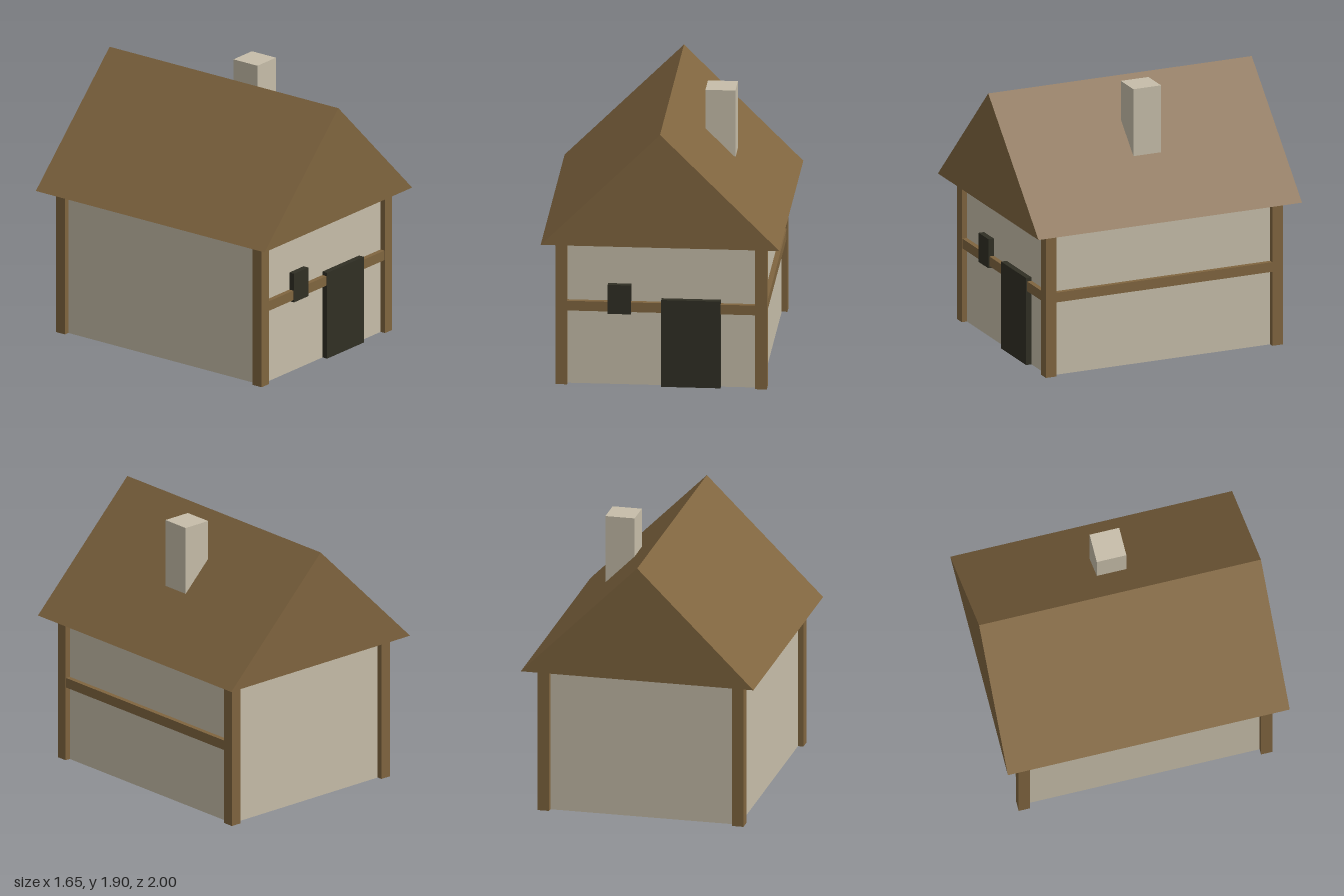
import * as THREE from 'three';

export function createModel() {
  const house = new THREE.Group();
  house.name = 'house';

  const material = (name, color) => {
    const m = new THREE.MeshStandardMaterial({ color });
    m.name = name;
    return m;
  };
  const timber = material('brown timber', 0x80653f);
  const plaster = material('pale plaster', 0xc6bda9);
  const dark = material('dark wood', 0x302f24);

  // Box given by its lower and upper corners
  const box = (name, mat, [x0, y0, z0], [x1, y1, z1]) => {
    const mesh = new THREE.Mesh(new THREE.BoxGeometry(x1 - x0, y1 - y0, z1 - z0), mat);
    mesh.position.set((x0 + x1) / 2, (y0 + y1) / 2, (z0 + z1) / 2);
    mesh.name = name;
    house.add(mesh);
  };

  const W = 0.69, D = 0.86, EAVES = 1.04; // half width, half depth, wall height
  const POST = 0.04, BEAM = 0.035;        // half thicknesses
  const LIFT = 0.001;                     // keeps undersides clear of the floor

  // Plastered walls and floor
  box('walls', plaster, [-W, 0, -D], [W, EAVES, D]);

  // Posts centred on the four wall corners
  for (const sx of [-1, 1]) {
    for (const sz of [-1, 1]) {
      const x = sx * W, z = sz * D;
      box('cornerPost', timber, [x - POST, LIFT, z - POST], [x + POST, EAVES, z + POST]);
    }
  }

  // Horizontal beams on the front and the left side
  box('frontBeam', timber, [-W + POST, 0.535, D - BEAM], [W - POST, 0.605, D + BEAM]);
  box('sideBeam', timber, [W - BEAM, 0.535, -D + POST], [W + BEAM, 0.605, D - POST]);

  // Door and window
  box('door', dark, [0, LIFT, D - 0.04], [0.41, 0.63, D + 0.042]);
  box('window', dark, [-0.37, 0.52, D - 0.04], [-0.21, 0.73, D + 0.042]);

  // Gabled roof, a solid prism along z
  const gable = new THREE.Shape([
    new THREE.Vector2(-0.825, EAVES),
    new THREE.Vector2(0.825, EAVES),
    new THREE.Vector2(0, 1.86),
  ]);
  const roof = new THREE.Mesh(
    new THREE.ExtrudeGeometry(gable, { depth: 2, bevelEnabled: false }), timber);
  roof.position.z = -1;
  roof.name = 'roof';
  house.add(roof);

  // Chimney rising through the left slope
  box('chimney', plaster, [0.24, 1.3, -0.105], [0.447, 1.9, 0.105]);

  return house;
}
